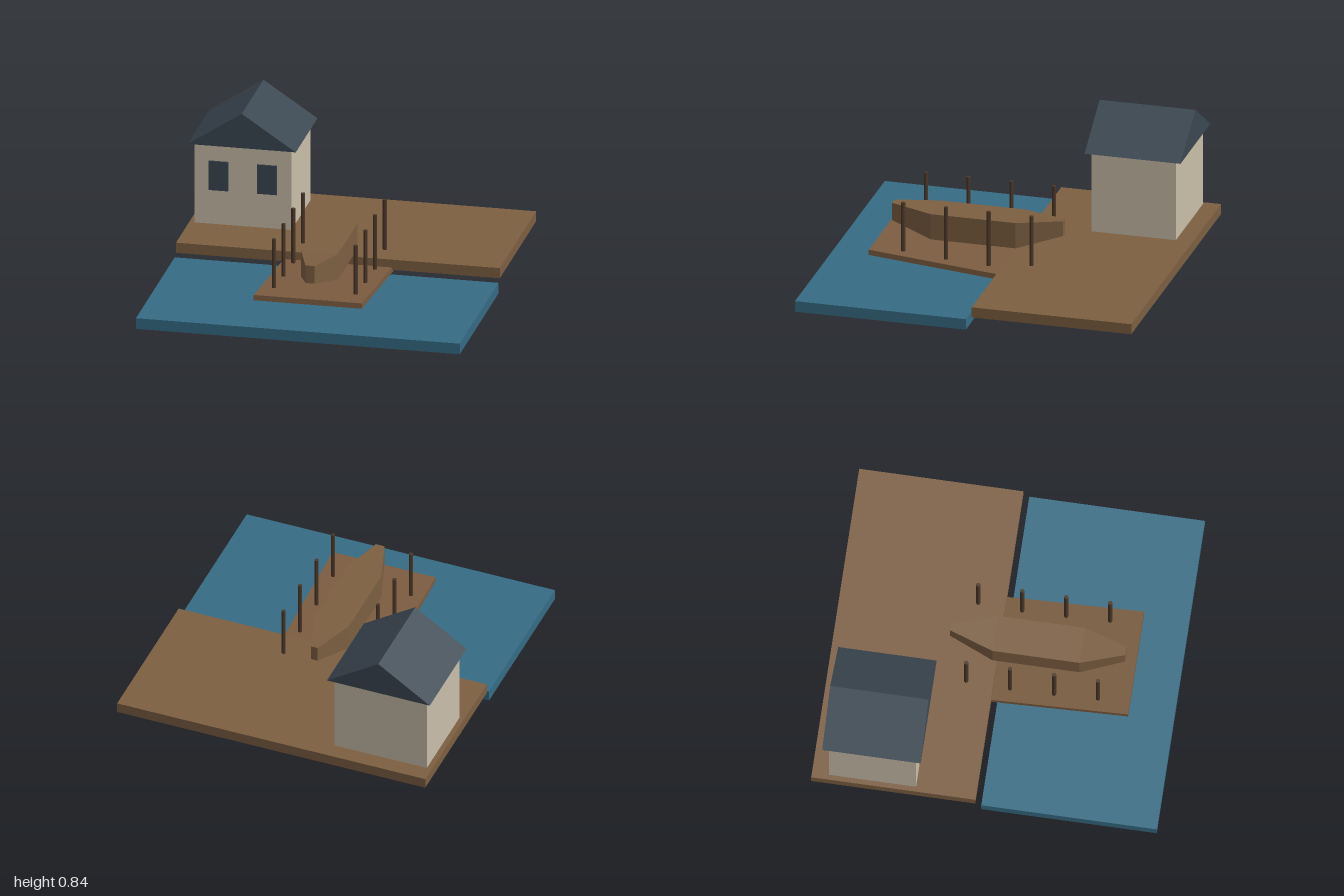
import * as THREE from 'three';

const material = (name, color, flatShading = false) => {
  const m = new THREE.MeshStandardMaterial({ color, flatShading });
  m.name = name;
  return m;
};

// Box given by its extents on each axis
function box(name, mat, [x0, x1], [y0, y1], [z0, z1]) {
  const mesh = new THREE.Mesh(new THREE.BoxGeometry(x1 - x0, y1 - y0, z1 - z0), mat);
  mesh.position.set((x0 + x1) / 2, (y0 + y1) / 2, (z0 + z1) / 2);
  mesh.name = name;
  return mesh;
}

// Closed hull lofted through rectangular sections: [z, halfWidth, bottom, top]
function hullGeometry(sections) {
  const positions = [];
  const rings = sections.map(([z, w, b, t]) => [[-w, b, z], [w, b, z], [w, t, z], [-w, t, z]]);
  const quad = (a, b, c, d) => positions.push(...a, ...b, ...c, ...a, ...c, ...d);
  for (let i = 0; i < rings.length - 1; i++) {
    for (let j = 0; j < 4; j++) {
      const k = (j + 1) % 4;
      quad(rings[i][j], rings[i][k], rings[i + 1][k], rings[i + 1][j]);
    }
  }
  const first = rings[0], last = rings[rings.length - 1];
  quad(first[3], first[2], first[1], first[0]);
  quad(last[0], last[1], last[2], last[3]);
  const g = new THREE.BufferGeometry();
  g.setAttribute('position', new THREE.Float32BufferAttribute(positions, 3));
  g.computeVertexNormals();
  return g;
}

export function createModel() {
  const wood = material('wood', 0x7c5f41, true);
  const rampWood = material('ramp wood', 0x7b5c40);
  const water = material('water', 0x356b84);
  const plaster = material('plaster', 0xc9bea9);
  const slate = material('slate', 0x3b4752);
  const darkWood = material('dark wood', 0x4a3729, true);

  const model = new THREE.Group();
  model.name = 'boathouse slipway';

  // Water and quay
  model.add(box('water', water, [-0.95, 0.95], [0, 0.065], [-0.016, 1]));
  model.add(box('quay', wood, [-0.95, 0.95], [0.08, 0.142], [-1, -0.05]));

  // Sloping ramp, raised at the front
  const ramp = box('ramp', rampWood, [-0.317, 0.317], [0.082, 0.114], [-0.393, 0.743]);
  ramp.rotation.x = -0.088;
  model.add(ramp);

  // House with gabled roof and two front windows
  const house = new THREE.Group();
  house.name = 'house';
  house.add(box('walls', plaster, [-0.92, -0.35], [0.14, 0.632], [-0.9, -0.397]));
  const gable = new THREE.Shape([
    new THREE.Vector2(-0.952, 0.63),
    new THREE.Vector2(-0.318, 0.63),
    new THREE.Vector2(-0.635, 0.84),
  ]);
  const roof = new THREE.Mesh(
    new THREE.ExtrudeGeometry(gable, { depth: 0.57, bevelEnabled: false }), slate);
  roof.position.z = -0.936;
  roof.name = 'roof';
  house.add(roof);
  for (const x of [-0.777, -0.492]) {
    house.add(box('window', slate, [x - 0.057, x + 0.057], [0.35, 0.528], [-0.3975, -0.388]));
  }
  model.add(house);

  // Boat
  const boat = new THREE.Mesh(hullGeometry([
    [-0.333, 0.02, 0.25, 0.341],
    [-0.075, 0.108, 0.18, 0.336],
    [0.43, 0.108, 0.18, 0.336],
    [0.682, 0.027, 0.24, 0.347],
  ]), wood);
  boat.name = 'boat';
  model.add(boat);

  // Two rows of guide posts
  const postGeometry = new THREE.CylinderGeometry(0.0125, 0.0125, 0.332, 8);
  for (const x of [-0.24, 0.24]) {
    for (const z of [-0.207, 0.047, 0.302, 0.556]) {
      const post = new THREE.Mesh(postGeometry, darkWood);
      post.position.set(x, 0.28, z);
      post.name = 'post';
      model.add(post);
    }
  }

  return model;
}
